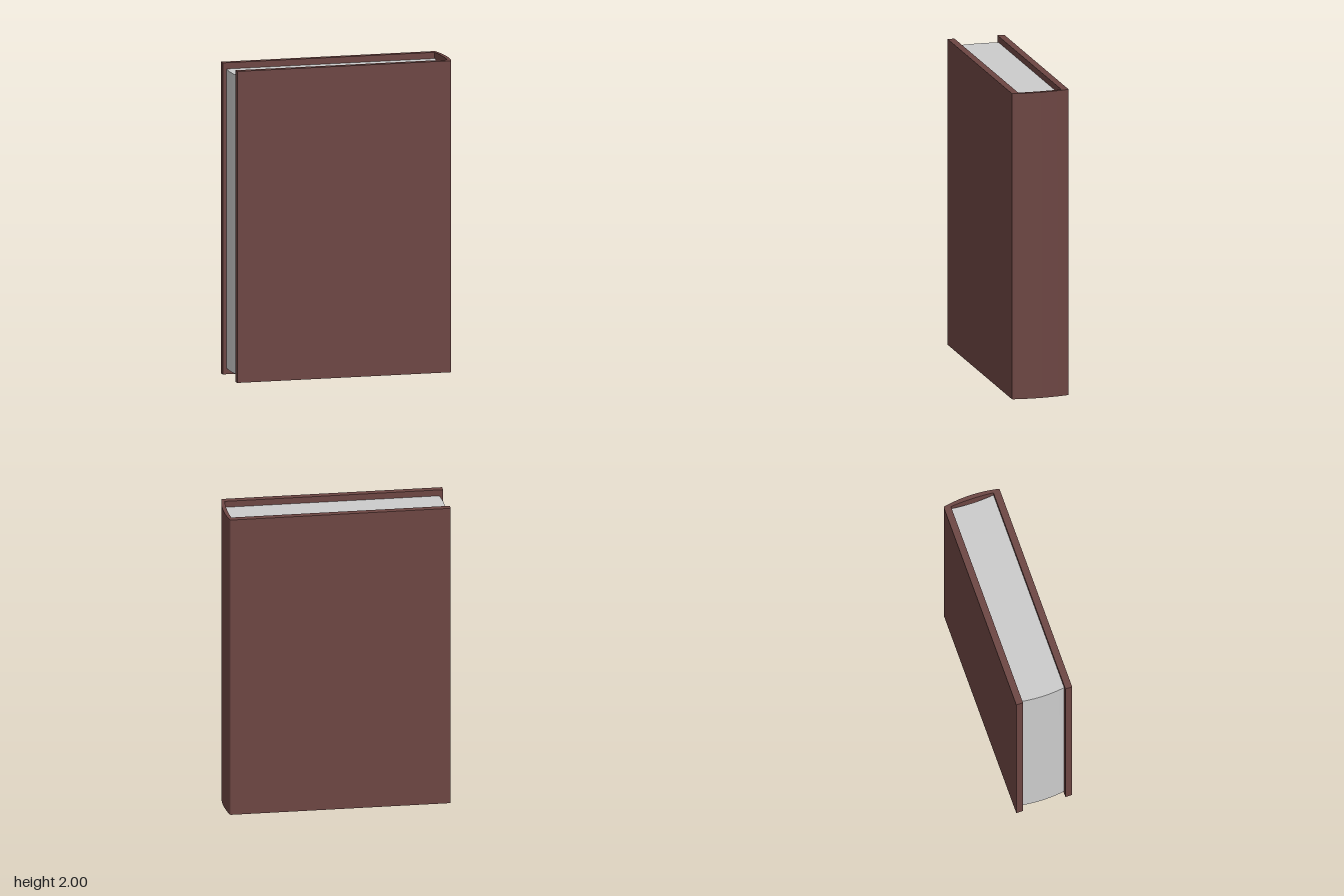
import * as THREE from 'three';
import { toCreasedNormals } from 'three/addons/utils/BufferGeometryUtils.js';

const HEIGHT = 2;
const HALF_DEPTH = 0.187; // outer half thickness of the book
const BOARD = 0.045;      // cover board thickness
const INNER = HALF_DEPTH - BOARD;
const SPINE_X = 0.682;    // where the boards meet the spine

// Extrude a plan outline (x, z) upwards from y0 to y1
function extrudeUp(shape, y0, y1) {
  const geo = new THREE.ExtrudeGeometry(shape, { depth: y1 - y0, bevelEnabled: false, curveSegments: 14 });
  geo.rotateX(-Math.PI / 2);
  geo.translate(0, y0, 0);
  return toCreasedNormals(geo, 0.5);
}

export function createModel() {
  const book = new THREE.Group();
  book.name = 'book';
  const leather = new THREE.MeshStandardMaterial({ color: 0x6c4542 });
  const paper = new THREE.MeshStandardMaterial({ color: 0xcccccc });

  const add = (name, geo, mat) => {
    const mesh = new THREE.Mesh(geo, mat);
    mesh.name = name;
    book.add(mesh);
    return mesh;
  };

  // Front and back boards
  const boardWidth = SPINE_X + 0.715;
  for (const [name, side] of [['frontCover', 1], ['backCover', -1]]) {
    add(name, new THREE.BoxGeometry(boardWidth, HEIGHT, BOARD), leather)
      .position.set(SPINE_X - boardWidth / 2, HEIGHT / 2, side * (HALF_DEPTH - BOARD / 2));
  }

  // Spine: gently bulging strip with rounded shoulders
  const spine = new THREE.Shape();
  spine.moveTo(SPINE_X, -HALF_DEPTH);
  spine.lineTo(0.69, -HALF_DEPTH);
  spine.quadraticCurveTo(0.697, -HALF_DEPTH, 0.7, -0.165);
  spine.quadraticCurveTo(0.73, 0, 0.7, 0.165);
  spine.quadraticCurveTo(0.697, HALF_DEPTH, 0.69, HALF_DEPTH);
  spine.lineTo(SPINE_X, HALF_DEPTH);
  spine.lineTo(SPINE_X, INNER);
  spine.quadraticCurveTo(0.696, 0, SPINE_X, -INNER);
  add('spine', extrudeUp(spine, 0, HEIGHT), leather);

  // Page block: bulging fore edge, hollow edge towards the spine
  const pages = new THREE.Shape();
  pages.moveTo(-0.69, -INNER);
  pages.lineTo(SPINE_X, -INNER);
  pages.quadraticCurveTo(0.666, 0, SPINE_X, INNER);
  pages.lineTo(-0.69, INNER);
  pages.quadraticCurveTo(-0.712, 0, -0.69, -INNER);
  add('pages', extrudeUp(pages, 0.04, HEIGHT - 0.04), paper);

  return book;
}
